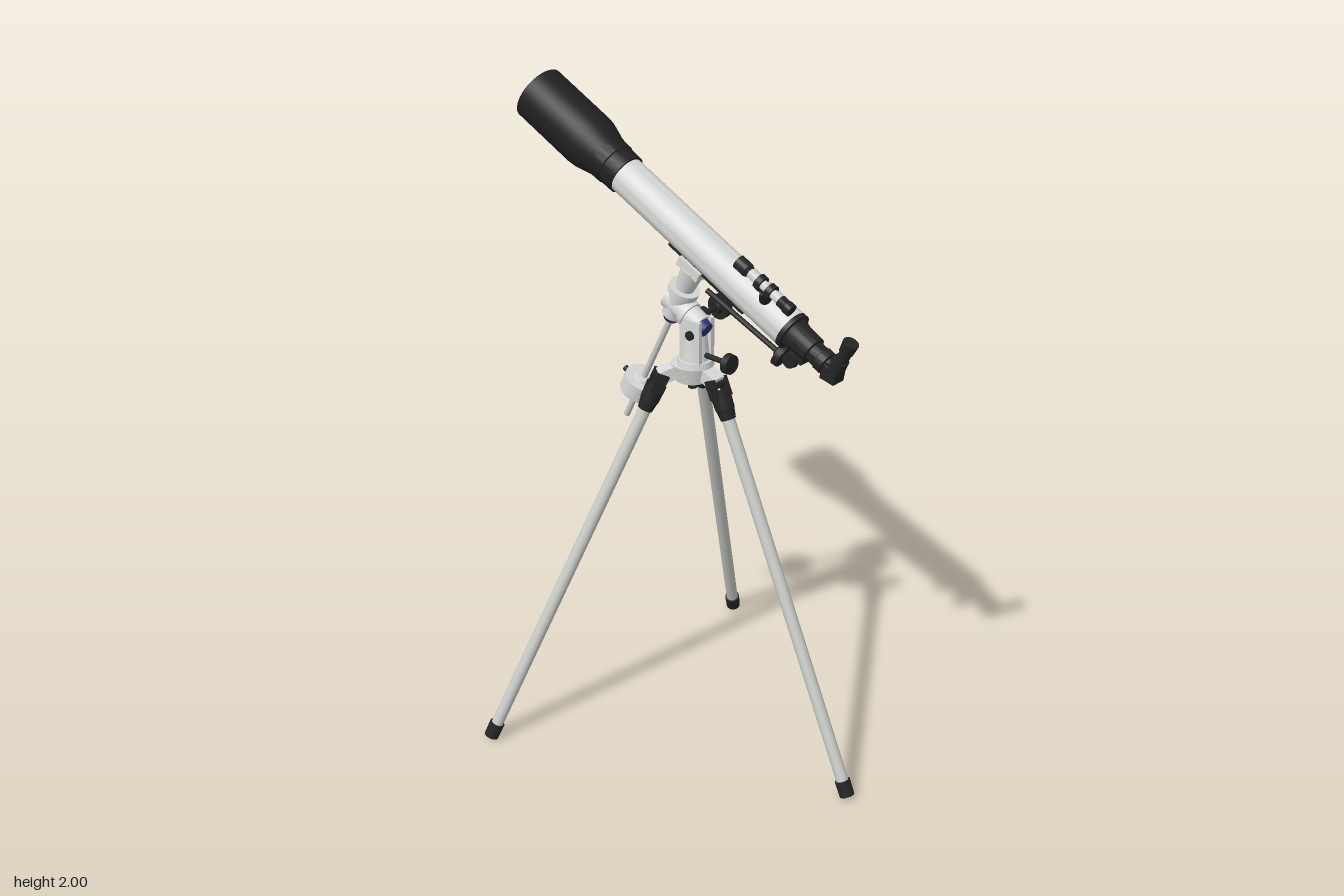
import * as THREE from 'three';
import { toCreasedNormals } from 'three/addons/utils/BufferGeometryUtils.js';

const mat = (name, color) => {
  const m = new THREE.MeshStandardMaterial({ color });
  m.name = name;
  return m;
};
const V = (x, y, z) => new THREE.Vector3(x, y, z);

export function createModel() {
  const white = mat('paintedWhite', 0xd6d8d6);
  const metal = mat('legAluminium', 0xc9ccc8);
  const black = mat('blackPlastic', 0x242424);
  const shade = mat('shieldBlack', 0x202020);
  const blue = mat('blueCap', 0x2c3270);
  const coated = mat('coatedLens', 0xd2694f);

  const model = new THREE.Group();
  model.name = 'telescope';

  const add = (parent, name, geo, m, x = 0, y = 0, z = 0) => {
    const mesh = new THREE.Mesh(geo, m);
    mesh.name = name;
    mesh.position.set(x, y, z);
    parent.add(mesh);
    return mesh;
  };
  // Cylinder running from a to b
  const rod = (parent, name, a, b, ra, rb, m, sides = 24) => {
    const d = b.clone().sub(a);
    const mesh = add(parent, name, new THREE.CylinderGeometry(rb, ra, d.length(), sides), m);
    mesh.position.copy(a).addScaledVector(d, 0.5);
    mesh.quaternion.setFromUnitVectors(V(0, 1, 0), d.normalize());
    return mesh;
  };
  // Turned part along z, points are [radius, z] with z rising for outer faces
  const turned = (parent, name, pts, m, x = 0, y = 0) => {
    const geo = new THREE.LatheGeometry(pts.map(p => new THREE.Vector2(p[0], p[1])), 40);
    geo.rotateX(Math.PI / 2);
    return add(parent, name, toCreasedNormals(geo, 0.5), m, x, y, 0);
  };
  // Round hand knob with a small grip rim, on a thin shaft
  const knob = (parent, name, from, to, r, thick) => {
    const dir = to.clone().sub(from).normalize();
    rod(parent, name + 'Shaft', from, to, 0.008, 0.008, black, 12);
    const end = to.clone().addScaledVector(dir, thick);
    rod(parent, name, to, end, r, r * 0.95, black);
    rod(parent, name + 'Hub', to.clone().addScaledVector(dir, -0.012), to, 0.014, 0.02, black);
  };

  const cx = -0.021;

  // Optical group: local +z runs along the tube toward the eyepiece
  const optics = new THREE.Group();
  optics.name = 'opticalTube';
  optics.position.set(cx, 1.625, 0);
  optics.rotation.x = THREE.MathUtils.degToRad(26);
  model.add(optics);

  turned(optics, 'mainTube', [[0.057, -0.31], [0.057, 0.396], [0, 0.396]], white);
  turned(optics, 'dewShield', [[0.081, -0.664], [0.081, -0.681], [0.086, -0.681], [0.086, -0.46],
    [0.083, -0.435], [0.069, -0.385], [0.067, -0.37], [0.067, -0.345], [0.064, -0.342],
    [0.063, -0.295], [0.056, -0.295]], shade);
  add(optics, 'frontLens', new THREE.CircleGeometry(0.082, 40).rotateY(Math.PI), coated, 0, 0, -0.667);

  // Focuser and star diagonal
  turned(optics, 'focuser', [[0.056, 0.392], [0.058, 0.392], [0.058, 0.406], [0.048, 0.408], [0.042, 0.43],
    [0.04, 0.485], [0.032, 0.488], [0.032, 0.515], [0.035, 0.517], [0.035, 0.54], [0.026, 0.542],
    [0.026, 0.56], [0, 0.56]], black);
  rod(optics, 'focusAxle', V(-0.045, -0.047, 0.455), V(0.045, -0.047, 0.455), 0.009, 0.009, black, 12);
  add(optics, 'focusHousing', new THREE.BoxGeometry(0.04, 0.035, 0.05), black, 0, -0.04, 0.455);
  for (const s of [-1, 1])
    rod(optics, 'focusKnob', V(s * 0.036, -0.047, 0.455), V(s * 0.052, -0.047, 0.455), 0.024, 0.022, black);
  const prism = add(optics, 'diagonalBody', new THREE.BoxGeometry(0.046, 0.055, 0.05), black, 0, -0.005, 0.566);
  prism.rotation.x = -0.25;
  rod(optics, 'eyepieceSocket', V(0, 0, 0.572), V(0, 0.045, 0.572), 0.024, 0.024, black);
  rod(optics, 'eyepieceBarrel', V(0, 0.045, 0.574), V(0, 0.08, 0.574), 0.018, 0.018, black);
  rod(optics, 'eyepieceCup', V(0, 0.078, 0.574), V(0, 0.113, 0.574), 0.021, 0.024, black);

  // Finder scope on its bracket
  const fx = -0.063, fy = 0.106;
  turned(optics, 'finderTube', [[0.014, 0.22], [0.014, 0.375]], white, fx, fy);
  turned(optics, 'finderObjective', [[0, 0.19], [0.016, 0.19], [0.016, 0.187], [0.021, 0.187], [0.021, 0.225],
    [0.015, 0.235], [0, 0.235]], black, fx, fy);
  turned(optics, 'finderEyepiece', [[0, 0.355], [0.017, 0.355], [0.017, 0.378], [0.019, 0.38], [0.019, 0.4],
    [0, 0.4]], black, fx, fy);
  for (const z of [0.268, 0.308])
    turned(optics, 'finderRing', [[0.013, z], [0.023, z], [0.023, z + 0.018], [0.013, z + 0.018]], black, fx, fy);
  add(optics, 'finderBridge', new THREE.BoxGeometry(0.02, 0.012, 0.06), black, fx + 0.006, fy - 0.022, 0.297);
  rod(optics, 'finderStalk', V(fx + 0.004, fy - 0.02, 0.297), V(-0.03, 0.042, 0.297), 0.013, 0.018, black);

  // Dovetail saddle and declination axis, perpendicular to the tube
  const dz = 0.033;
  add(optics, 'dovetailBar', new THREE.BoxGeometry(0.036, 0.018, 0.31), black, 0, -0.061, 0.09);
  add(optics, 'saddle', new THREE.BoxGeometry(0.06, 0.03, 0.085), white, 0, -0.077, dz);
  const axis = (name, y0, y1, r0, r1, m) => rod(optics, name, V(0, y0, dz), V(0, y1, dz), r0, r1, m, 32);
  axis('declinationNeck', -0.165, -0.085, 0.028, 0.037, white);
  axis('declinationCircle', -0.18, -0.16, 0.047, 0.047, white);
  axis('declinationHousing', -0.27, -0.18, 0.033, 0.036, white);
  axis('declinationCap', -0.288, -0.27, 0.022, 0.028, blue);
  axis('counterweightShaft', -0.706, -0.28, 0.0095, 0.0095, metal);
  axis('counterweight', -0.597, -0.543, 0.057, 0.057, white);
  axis('counterweightCollar', -0.543, -0.535, 0.03, 0.026, white);
  rod(optics, 'counterweightScrew', V(0, -0.567, dz - 0.05), V(0, -0.567, dz - 0.072), 0.009, 0.009, black, 12);

  // Polar axis, running along the tube direction
  rod(optics, 'polarHousing', V(0, -0.225, 0.0), V(0, -0.225, 0.135), 0.037, 0.033, white, 32);
  rod(optics, 'polarCircle', V(0, -0.225, 0.07), V(0, -0.225, 0.088), 0.041, 0.041, white, 32);
  rod(optics, 'polarCap', V(0, -0.225, 0.135), V(0, -0.225, 0.158), 0.026, 0.023, blue);

  // Slow motion controls
  knob(model, 'declinationKnob', V(0.012, 1.462, 0.015), V(0.032, 1.335, 0.272), 0.038, 0.018);
  knob(model, 'polarKnob', V(0.0, 1.364, -0.026), V(0.108, 1.364, -0.026), 0.039, 0.024);
  rod(model, 'wormHousing', V(cx, 1.364, -0.026), V(0.05, 1.364, -0.026), 0.03, 0.022, black);
  knob(model, 'azimuthKnob', V(cx, 1.274, 0.03), V(cx, 1.274, 0.12), 0.031, 0.02);

  // Mount pedestal
  for (const s of [-1, 1])
    add(model, 'pedestalCheek', new THREE.BoxGeometry(0.014, 0.14, 0.075), white, cx + s * 0.027, 1.315, 0.005);
  rod(model, 'pedestal', V(cx, 1.24, 0), V(cx, 1.34, 0), 0.045, 0.033, white, 32);
  rod(model, 'tiltBolt', V(cx - 0.042, 1.34, 0.01), V(cx + 0.042, 1.34, 0.01), 0.014, 0.014, black, 16);
  rod(model, 'azimuthRing', V(cx, 1.235, 0), V(cx, 1.255, 0), 0.055, 0.052, white, 32);

  // Tripod head and three legs
  const hub = V(-0.019, 0, -0.012);
  rod(model, 'tripodHub', V(cx, 1.185, hub.z), V(cx, 1.238, hub.z), 0.052, 0.064, white, 32);
  rod(model, 'hubBolt', V(cx, 1.155, hub.z), V(cx, 1.19, hub.z), 0.014, 0.014, black, 16);
  for (const deg of [93.2, 216, -29.3]) {
    const t = THREE.MathUtils.degToRad(deg);
    const leg = new THREE.Group();
    leg.name = 'tripodLeg';
    leg.position.copy(hub);
    leg.rotation.y = -t;
    model.add(leg);
    // Local +x points outward along the leg
    const top = V(0.098, 1.2, 0), foot = V(0.647, 0.011, 0);
    const at = k => top.clone().lerp(foot, k);
    const arm = add(leg, 'hubArm', new THREE.BoxGeometry(0.065, 0.04, 0.044), white, 0.07, 1.21, 0);
    arm.rotation.z = -0.35;
    rod(leg, 'hingeBolt', V(0.098, 1.195, -0.034), V(0.098, 1.195, 0.034), 0.013, 0.013, black, 16);
    for (const s of [-1, 1]) {
      const lug = add(leg, 'hingeLug', new THREE.BoxGeometry(0.036, 0.06, 0.01), black, 0, 0, s * 0.025);
      lug.position.copy(at(0.012)).setZ(s * 0.025);
      lug.rotation.z = 0.433;
    }
    rod(leg, 'legClamp', at(0.02), at(0.06), 0.031, 0.029, black);
    rod(leg, 'legSleeve', at(0.06), at(0.085), 0.028, 0.023, black);
    rod(leg, 'legTube', at(0.07), at(0.975), 0.0195, 0.0185, metal);
    rod(leg, 'foot', at(0.962), at(1), 0.0235, 0.0225, black);
  }
  return model;
}
